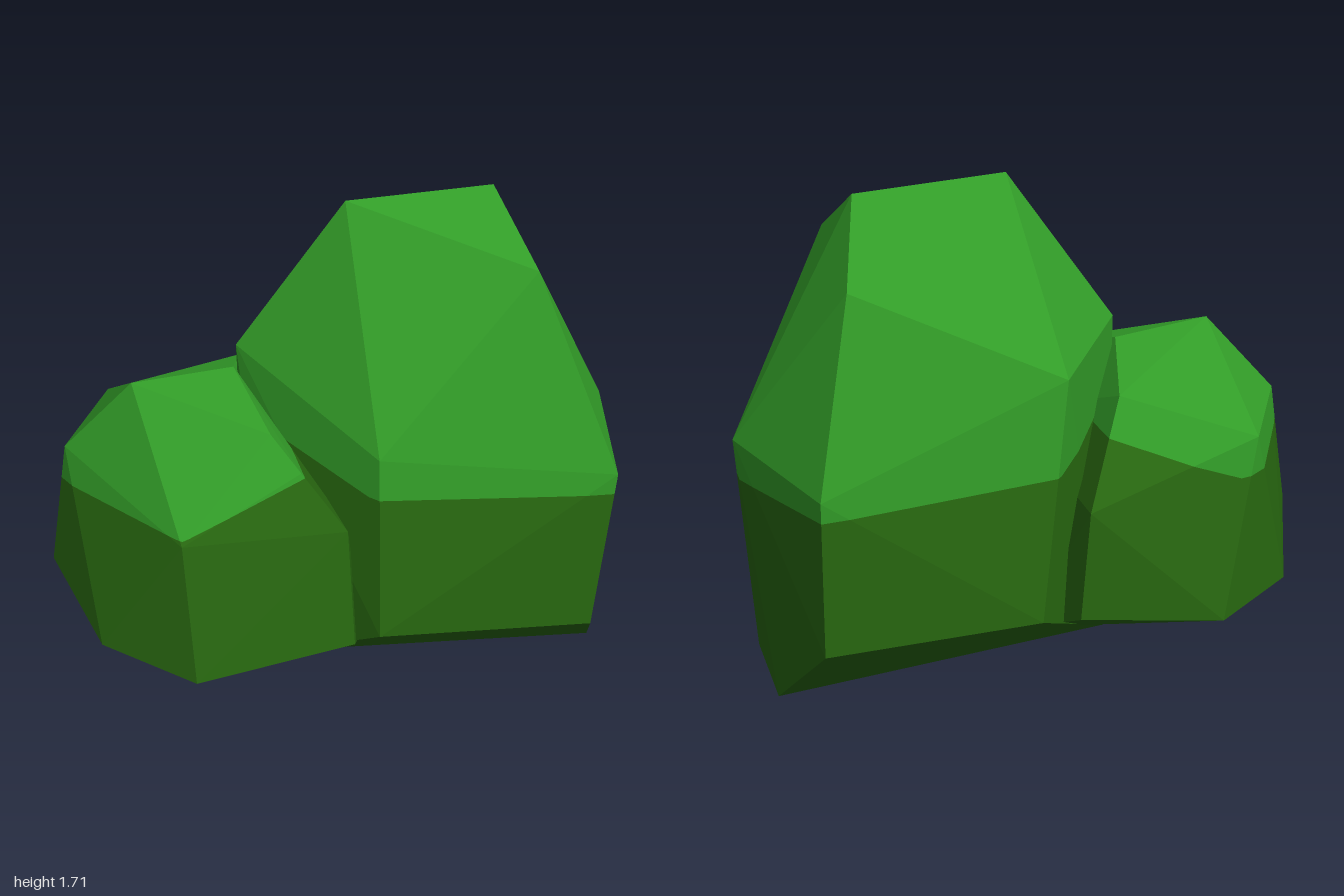
import * as THREE from 'three';
import { ConvexGeometry } from 'three/addons/geometries/ConvexGeometry.js';

const leafLight = new THREE.MeshStandardMaterial({ color: 0x329c28 });
leafLight.name = 'light green leaves';
const leafDark = new THREE.MeshStandardMaterial({ color: 0x286810 });
leafDark.name = 'dark green leaves';

// Cut a polygon by the line y = offset + slope * x; keep the part above or below
function clip(poly, [offset, slope], above) {
  const height = (p) => (p.y - offset - slope * p.x) * (above ? 1 : -1);
  const out = [];
  poly.forEach((a, i) => {
    const b = poly[(i + 1) % poly.length];
    const ha = height(a), hb = height(b);
    if (ha >= 0) out.push(a);
    if ((ha >= 0) !== (hb >= 0)) out.push(a.clone().lerp(b, ha / (ha - hb)));
  });
  return out;
}

// Flat-faced geometry from a list of convex polygons
function facets(polys) {
  const points = [];
  for (const p of polys) {
    for (let i = 1; i < p.length - 1; i++) points.push(p[0], p[i], p[i + 1]);
  }
  const geometry = new THREE.BufferGeometry().setFromPoints(points);
  geometry.computeVertexNormals();
  return geometry;
}

// A faceted clump: light above both cutting planes, dark below
function clump(name, corners, [cutA, cutB]) {
  const hull = new ConvexGeometry(corners.map((c) => new THREE.Vector3(...c)));
  const pos = hull.attributes.position;
  const light = [], dark = [];
  for (let i = 0; i < pos.count; i += 3) {
    const tri = [0, 1, 2].map((k) => new THREE.Vector3().fromBufferAttribute(pos, i + k));
    const upper = clip(tri, cutA, true);
    dark.push(clip(tri, cutA, false), clip(upper, cutB, false));
    light.push(clip(upper, cutB, true));
  }
  const group = new THREE.Group();
  group.name = name;
  const top = new THREE.Mesh(facets(light), leafLight);
  top.name = name + 'Top';
  const base = new THREE.Mesh(facets(dark), leafDark);
  base.name = name + 'Base';
  group.add(top, base);
  return group;
}

export function createModel() {
  const model = new THREE.Group();
  model.name = 'bush';

  model.add(clump('largeClump', [
    // crown
    [0.02, 1.71, 0.07], [0.57, 1.69, -0.02], [0.61, 1.5, 0.34], [0.66, 1.45, -0.36],
    // shoulders
    [-0.34, 1.2, -0.02], [0.02, 0.95, 0.49], [-0.04, 1.14, -0.49],
    [1.0, 0.87, -0.02], [0.845, 0.82, 0.545], [0.8, 0.82, -0.555],
    // skirt
    [0, 0.34, 0.58], [0.77, 0.26, 0.555], [0.8, 0.28, -0.555], [0.07, 0.33, -0.585], [-0.32, 0.5, 0],
    // underside
    [0.91, 0, 0.2], [0.91, 0, -0.23], [-0.26, 0.11, 0.2], [-0.26, 0.11, -0.2],
  ], [[0.815, -0.08], [0.81, -0.5]]));

  model.add(clump('smallClump', [
    // crown
    [-0.72, 1.14, 0.07], [-0.35, 1.12, -0.02], [-0.31, 1.02, 0.34], [-0.26, 1.02, -0.35],
    // shoulders
    [-0.94, 0.89, -0.03], [-0.65, 0.73, 0.5], [-0.71, 0.88, -0.49], [-0.23, 0.91, 0.43],
    [-0.09, 0.71, 0.5], [-0.1, 0.69, -0.555],
    // skirt
    [-1, 0.47, -0.03], [-0.9, 0.31, 0.33], [-0.87, 0.3, -0.38],
    [-0.63, 0.26, 0.58], [-0.57, 0.26, -0.585], [-0.08, 0.31, 0.555], [-0.07, 0.31, -0.555],
    // underside
    [-0.79, 0.07, -0.03], [0.05, 0.14, 0.2], [0.05, 0.14, -0.2],
  ], [[0.68, -0.1], [0.97, 0.35]]));

  return model;
}
